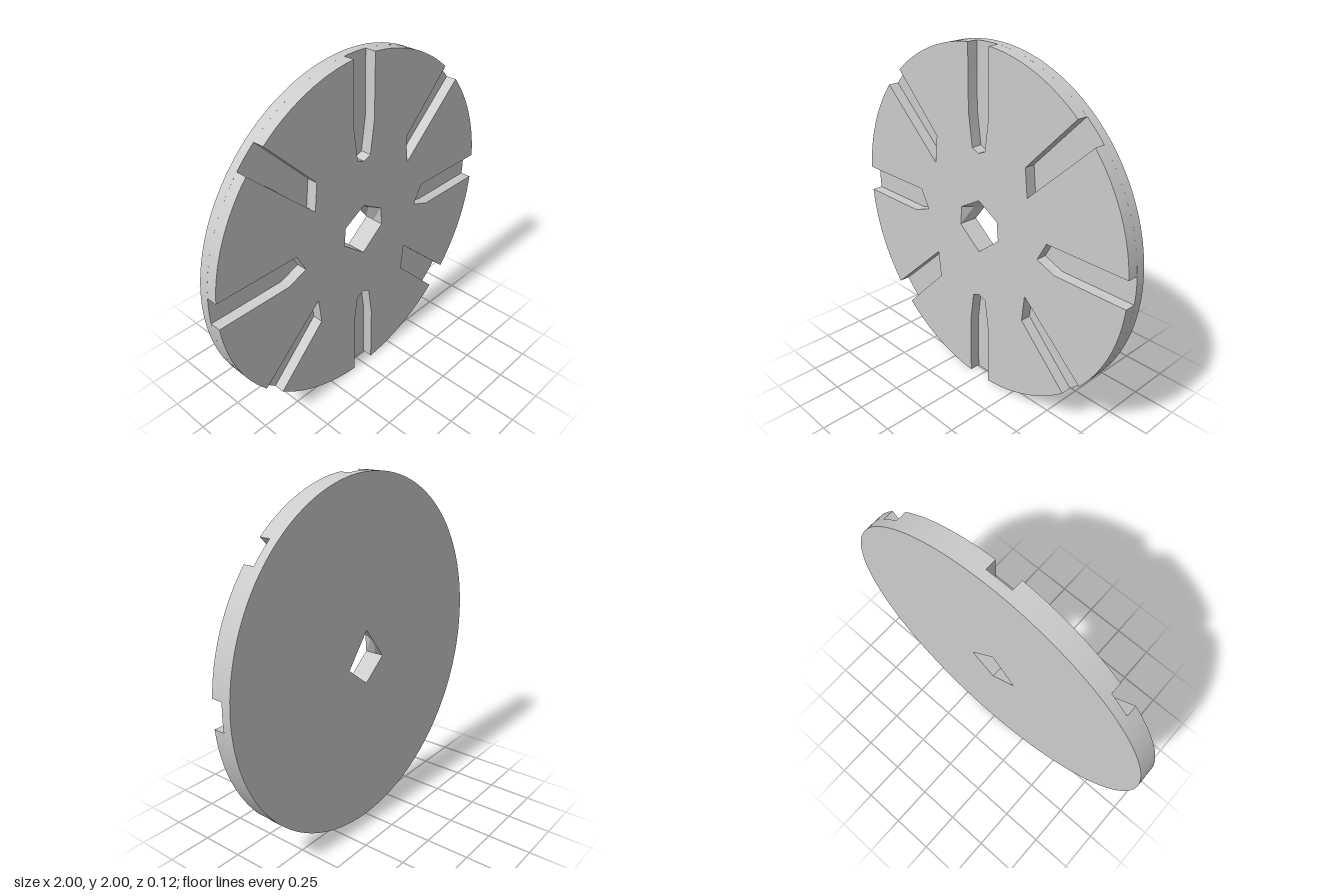
import * as THREE from 'three';
import { toCreasedNormals } from 'three/addons/utils/BufferGeometryUtils.js';

const BACK = -0.058, FLOOR = -0.005, FRONT = 0.058;

// Slot outlines around the disc centre, listed counter-clockwise from rim to rim
const topSlot = [[0.075, 0.997], [0.075, 0.64], [0.048, 0.45], [0, 0.43], [-0.048, 0.45], [-0.075, 0.64], [-0.075, 0.997]];
const diagonalSlot = [[0.757, 0.654], [0.355, 0.285], [0.338, 0.445], [0.65, 0.76]];
const sideSlot = [[0.997, -0.075], [0.555, -0.075], [0.435, -0.03], [0.495, 0.08], [0.997, 0.08]];

const mirrorX = (pts) => pts.map(([x, y]) => [-x, y]).reverse();
const mirrorY = (pts) => pts.map(([x, y]) => [x, -y]).reverse();

// Centre hole: six corners at the front, narrowing to a four-sided kite at the back
const SHOULDER = new THREE.Vector2(0.14, 0.08);
const SHOULDER_BACK = new THREE.Vector2(0.075, 0.065);
function holePath() {
  const pts = [[0, 0.16], [-0.14, 0.08], [-0.15, -0.03], [0, -0.15], [0.15, -0.03], [0.14, 0.08]];
  return new THREE.Path(pts.map((p) => new THREE.Vector2(...p)));
}

// Extrude a layer between two depths and taper the hole's shoulder corners
function layer(name, shape, z0, z1, material) {
  shape.holes.push(holePath());
  const geo = new THREE.ExtrudeGeometry(shape, { depth: z1 - z0, bevelEnabled: false, curveSegments: 96 });
  geo.translate(0, 0, z0);
  const p = geo.attributes.position;
  for (let i = 0; i < p.count; i++) {
    const x = p.getX(i), y = p.getY(i);
    if (Math.hypot(Math.abs(x) - SHOULDER.x, y - SHOULDER.y) > 0.001) continue;
    const t = (FRONT - p.getZ(i)) / (FRONT - BACK);
    const q = SHOULDER.clone().lerp(SHOULDER_BACK, t);
    p.setXY(i, Math.sign(x) * q.x, q.y);
  }
  const mesh = new THREE.Mesh(toCreasedNormals(geo, 0.4), material);
  mesh.name = name;
  mesh.position.y = 1;
  return mesh;
}

export function createModel() {
  const group = new THREE.Group();
  group.name = 'slottedDisc';
  const material = new THREE.MeshStandardMaterial({ color: 0xcccccc });

  // Solid back plate, which forms the slot floors
  const backShape = new THREE.Shape();
  backShape.absarc(0, 0, 1, 0, Math.PI * 2, false);
  group.add(layer('backPlate', backShape, BACK, FLOOR, material));

  // Front plate with eight slots open to the rim
  const slots = [
    sideSlot, diagonalSlot, topSlot, mirrorX(diagonalSlot), mirrorX(sideSlot),
    mirrorX(mirrorY(diagonalSlot)), mirrorY(topSlot), mirrorY(diagonalSlot),
  ];
  const frontShape = new THREE.Shape();
  slots.forEach((slot, i) => {
    slot.forEach(([x, y], j) => (i + j === 0 ? frontShape.moveTo(x, y) : frontShape.lineTo(x, y)));
    // Rim arc to the next slot
    const [ax, ay] = slot[slot.length - 1];
    const [bx, by] = slots[(i + 1) % slots.length][0];
    const a = Math.atan2(ay, ax);
    let b = Math.atan2(by, bx);
    if (b < a) b += Math.PI * 2;
    for (let k = 0; k <= 12; k++) {
      const angle = a + ((b - a) * k) / 12;
      frontShape.lineTo(Math.cos(angle), Math.sin(angle));
    }
  });
  group.add(layer('slottedFrontPlate', frontShape, FLOOR, FRONT, material));
  return group;
}
